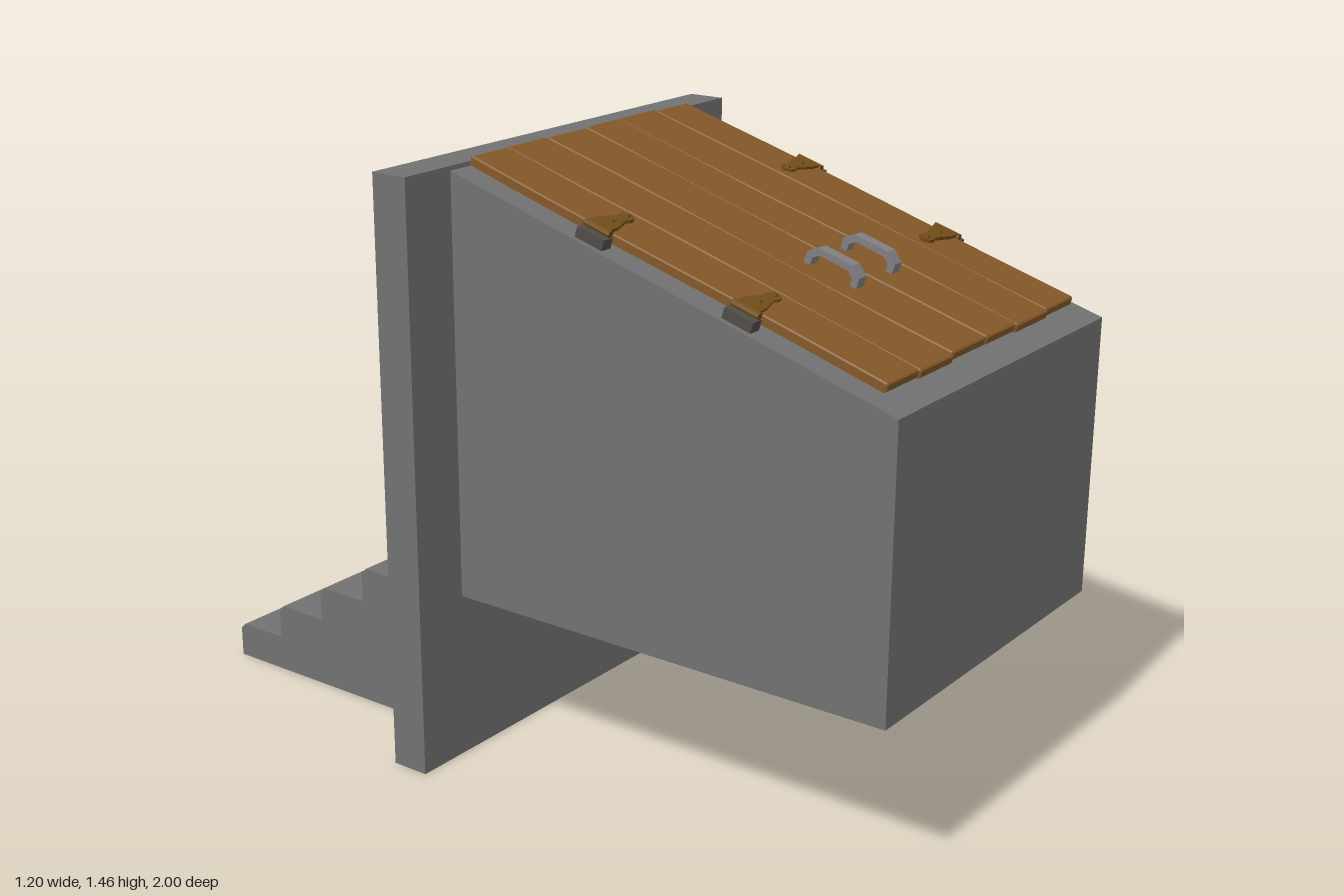
import * as THREE from 'three';

const mat = (color) => new THREE.MeshStandardMaterial({ color, flatShading: true });
const stone = mat(0x717171), wood = mat(0x845828), brass = mat(0x704c18);
const iron = mat(0x807f82), darkIron = mat(0x504c48);

function add(parent, name, geo, material, x = 0, y = 0, z = 0) {
  const m = new THREE.Mesh(geo, material);
  m.name = name;
  m.position.set(x, y, z);
  parent.add(m);
  return m;
}

const poly = (pts) => new THREE.Shape(pts.map(([a, b]) => new THREE.Vector2(a, b)));

// Extrudes a [z, y] outline across x, centred on x = 0
function extrudeX(pts, width) {
  const g = new THREE.ExtrudeGeometry(poly(pts), { depth: width, bevelEnabled: false });
  return g.translate(0, 0, -width / 2).rotateY(-Math.PI / 2);
}

const rect = (hw, y0, y1) => [[-hw, y0], [hw, y0], [hw, y1], [-hw, y1]];

// Rectangular ring in the xy plane, from z0 to z1
function ring(outer, inner, z0, z1, bevel = 0) {
  const s = poly(outer);
  s.holes.push(new THREE.Path(inner.map(([a, b]) => new THREE.Vector2(a, b)).reverse()));
  const g = new THREE.ExtrudeGeometry(s, {
    depth: z1 - z0 - 2 * bevel, bevelEnabled: bevel > 0, bevelSize: bevel,
    bevelThickness: bevel, bevelOffset: -bevel, bevelSegments: 1,
  });
  return g.translate(0, 0, z0 + bevel);
}

// Plank with chamfered edges and a slight bow along its length
function plankGeometry(x0, x1, thickness, length, phase) {
  const c = 0.003, a = x0 + 0.0005, b = x1 - 0.0005, t = thickness;
  const g = new THREE.ExtrudeGeometry(
    poly([[a, 0], [b, 0], [b, t - c], [b - c, t], [a + c, t], [a, t - c]]),
    { depth: length - 0.008, steps: 10, bevelEnabled: true, bevelSize: 0.003, bevelThickness: 0.004, bevelOffset: -0.003, bevelSegments: 1 });
  g.translate(0, 0, -length / 2 + 0.004);
  const p = g.attributes.position;
  for (let i = 0; i < p.count; i++) {
    p.setY(i, p.getY(i) + 0.0015 * Math.sin(p.getZ(i) * 6 + phase));
  }
  g.computeVertexNormals();
  return g;
}

// Strap hinge, pointing inwards along -x from the lid edge
function hinge(side) {
  const h = new THREE.Group();
  h.name = 'hinge';
  const s = poly([[0.415, -0.03], [0.415, 0.03], [0.385, 0.028], [0.335, 0.013], [0.328, 0.018],
    [0.312, 0.016], [0.3, 0], [0.312, -0.016], [0.328, -0.018], [0.335, -0.013], [0.385, -0.028]]);
  const strap = new THREE.ExtrudeGeometry(s, { depth: 0.008, bevelEnabled: false }).rotateX(-Math.PI / 2);
  add(h, 'hingeStrap', strap, brass, 0, 0.034, 0);
  add(h, 'hingePin', new THREE.CylinderGeometry(0.009, 0.009, 0.07, 8).rotateX(Math.PI / 2), brass, 0.418, 0.034, 0);
  add(h, 'hingePlate', new THREE.BoxGeometry(0.032, 0.027, 0.075), darkIron, 0.426, 0.0125, 0);
  for (const x of [0.318, 0.375]) {
    add(h, 'hingeRivet', new THREE.CylinderGeometry(0.006, 0.008, 0.006, 8), brass, x, 0.044, 0);
  }
  if (side < 0) h.rotation.y = Math.PI;
  return h;
}

export function createModel() {
  const model = new THREE.Group();
  model.name = 'cellarEntrance';

  // Sloped bulkhead block
  add(model, 'bulkhead', extrudeX([[-0.155, 0.41], [1, 0.41], [1, 1.085], [-0.155, 1.43]], 0.91), stone);

  // Wall with a doorway recess
  add(model, 'wall', ring(rect(0.6, 0, 1.44), rect(0.285, 0.5, 1.365), -0.253, -0.157), stone);

  // Door frame, inner stop, door and knob
  add(model, 'doorFrame', ring(rect(0.31, 0.475, 1.395), rect(0.278, 0.506, 1.361), -0.27, -0.24, 0.006), stone);
  add(model, 'doorStop', ring(rect(0.286, 0.499, 1.366), rect(0.264, 0.518, 1.347), -0.245, -0.2), stone);
  add(model, 'door', new THREE.BoxGeometry(0.57, 0.866, 0.05), stone, 0, 0.933, -0.2);
  add(model, 'doorKnobStem', new THREE.CylinderGeometry(0.008, 0.012, 0.03, 10).rotateX(-Math.PI / 2), brass, -0.18, 0.94, -0.235);
  add(model, 'doorKnob', new THREE.SphereGeometry(0.019, 12, 8).scale(1, 1, 0.7), brass, -0.18, 0.94, -0.252);

  // Stairs with chamfered treads
  const profile = [[-0.25, 0]];
  const c = 0.014;
  [-1, -0.85, -0.697, -0.547, -0.395].forEach((z, i) => {
    const y0 = i * 0.0905, y1 = y0 + 0.0905;
    profile.push([z, y0], [z, y1 - c], [z + c, y1]);
  });
  profile.push([-0.25, 0.4525]);
  add(model, 'stairs', extrudeX(profile.reverse(), 0.78), stone);

  // Double lid lying on the slope
  const lid = new THREE.Group();
  lid.name = 'lid';
  lid.position.set(0, 1.264, 0.397);
  lid.rotation.x = Math.atan2(0.345, 1.155);
  model.add(lid);

  const edges = [-0.41, -0.283, -0.145, 0, 0.132, 0.278, 0.41];
  const lengths = [1.128, 1.136, 1.126, 1.13, 1.138, 1.128];
  lengths.forEach((len, i) => {
    add(lid, 'plank', plankGeometry(edges[i], edges[i + 1], 0.022, len, i * 1.7), wood, 0, 0.013, 0);
  });

  // Battens, hinges and handles, mirrored on the two leaves
  const handle = [[-0.07, 0], [-0.07, 0.026], [-0.045, 0.046], [0.045, 0.046], [0.07, 0.026], [0.07, 0],
    [0.053, 0], [0.053, 0.019], [0.037, 0.031], [-0.037, 0.031], [-0.053, 0.019], [-0.053, 0]];
  for (const side of [1, -1]) {
    for (const z of [-0.52, 0.52]) {
      add(lid, 'batten', new THREE.BoxGeometry(0.33, 0.012, 0.05), wood, side * 0.2, 0.009, z);
    }
    for (const z of [-0.185, 0.215]) {
      const h = hinge(side);
      h.position.z = z;
      lid.add(h);
    }
    add(lid, 'handle', extrudeX([...handle].reverse(), 0.03), iron, side * 0.075, 0.033, 0.21);
  }
  return model;
}
